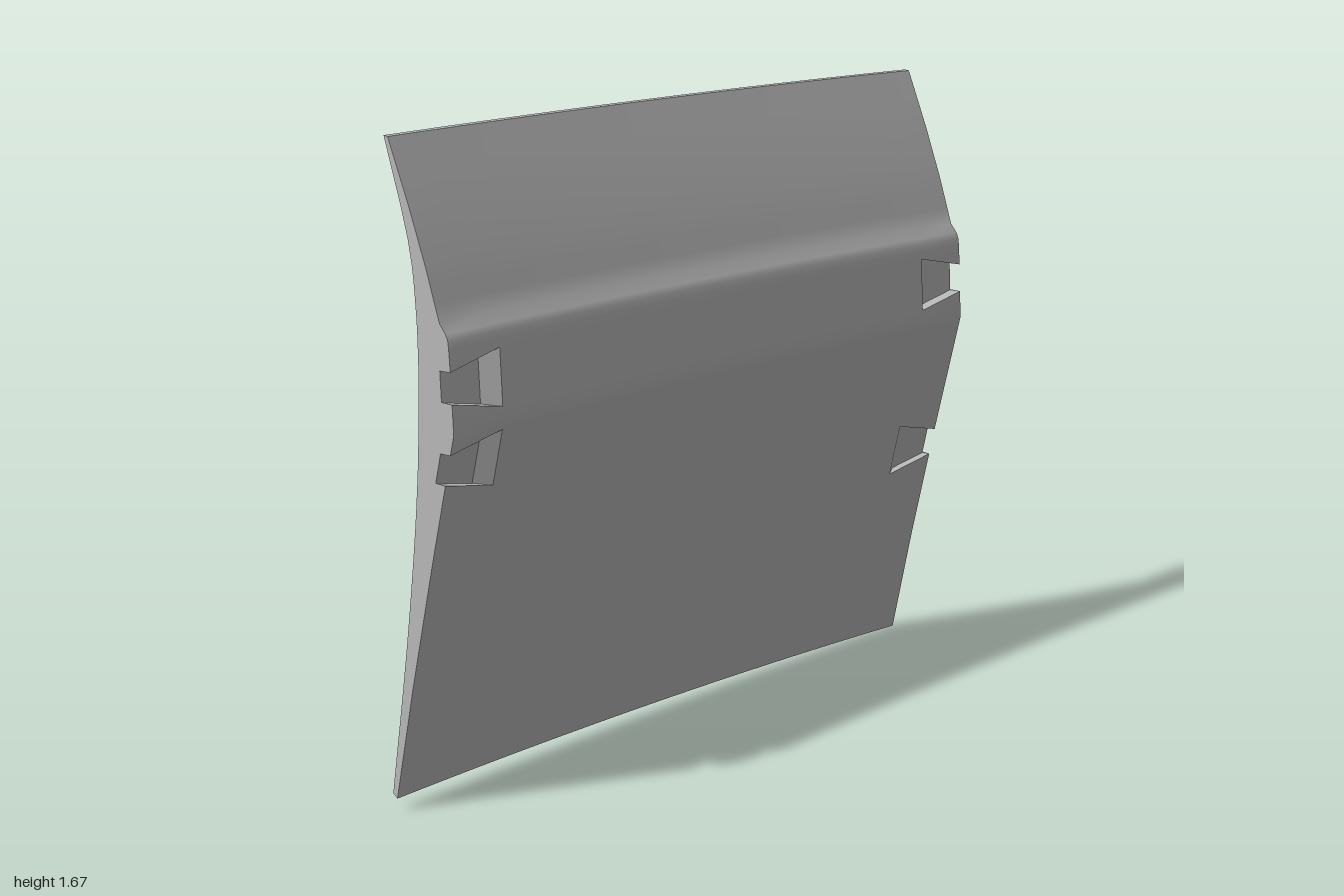
import * as THREE from 'three';
import { toCreasedNormals } from 'three/addons/utils/BufferGeometryUtils.js';

// Cross-section at the left end: height -> depth of the outer and inner faces
const outerZ = new THREE.LinearInterpolant(
  [0.005, 0.3, 0.63, 0.97, 1.16, 1.195, 1.212, 1.235, 1.36, 1.5, 1.658],
  [-0.066, -0.004, 0.071, 0.152, 0.143, 0.139, 0.132, 0.113, 0.073, 0.022, -0.042], 1);
const innerZ = new THREE.CubicInterpolant(
  [0.015, 0.46, 0.81, 1.0, 1.14, 1.26, 1.4, 1.66],
  [-0.08, -0.013, 0.027, 0.038, 0.041, 0.037, 0.021, -0.055], 1);

// Dovetail pockets: centre height, depth, and the ends (-1, 1) they open at
const pockets = [
  { y: 0.59, depth: 0.024, ends: [1] },
  { y: 0.88, depth: 0.032, ends: [-1] },
  { y: 1.0825, depth: 0.034, ends: [-1, 1] },
];

// Rows from bottom to top; pocket edges are doubled so the rows form the walls
const plain = (...ys) => ys.map((y) => ({ y, side: 0 }));
const band = (pocket) => [[-1, false], [-1, true], [0, true], [1, true], [1, false]]
  .map(([side, inside]) => ({ y: pocket.y, side, pocket: inside ? pocket : null }));
const rows = [
  ...plain(0.005, 0.1, 0.2, 0.3, 0.4, 0.48), ...band(pockets[0]),
  ...plain(0.7, 0.76), ...band(pockets[1]),
  ...plain(0.97), ...band(pockets[2]),
  ...plain(1.175, 1.195, 1.212, 1.235, 1.28, 1.32, 1.36, 1.42, 1.5, 1.58, 1.658),
];

const columns = [-1, -0.87, -0.83];
for (let i = 1; i < 24; i++) columns.push(-0.83 + (1.66 * i) / 24);
columns.push(0.83, 0.87, 1);

// The section slides back and up along a gentle arc towards the right end
function place(x, y, z) {
  const s = 1 - ((x + 1) / 2) ** 2;
  return new THREE.Vector3(x, y + s * (0.018 + 0.015 * Math.max(0, 1 - y / 1.2)), z - 0.071 * s);
}

function rowHeight(row, x) {
  const t = Math.min(1, (1 - Math.abs(x)) / 0.17);
  return row.y + row.side * (0.0385 + 0.034 * t);
}

function outerPoint(x, row) {
  const y = rowHeight(row, x);
  let z = outerZ.evaluate(y)[0];
  if (row.pocket && row.pocket.ends.includes(Math.sign(x))) {
    z -= row.pocket.depth * THREE.MathUtils.clamp((Math.abs(x) - 0.83) / 0.04, 0, 1);
  }
  return place(x, y, z);
}

function innerPoint(x, row) {
  const y = 0.015 + ((rowHeight(row, x) - 0.005) / 1.653) * 1.645;
  return place(x, y, innerZ.evaluate(y)[0]);
}

// Collects quads, dropping triangles with no area
function surface() {
  const data = [];
  const tri = (a, b, c) => {
    const area = b.clone().sub(a).cross(c.clone().sub(a)).length();
    if (area > 1e-8) for (const p of [a, b, c]) data.push(p.x, p.y, p.z);
  };
  return {
    quad(a, b, c, d) { tri(a, b, c); tri(a, c, d); },
    mesh(name, material) {
      const geometry = new THREE.BufferGeometry();
      geometry.setAttribute('position', new THREE.Float32BufferAttribute(data, 3));
      const mesh = new THREE.Mesh(toCreasedNormals(geometry, 0.4), material);
      mesh.name = name;
      return mesh;
    },
  };
}

export function createModel() {
  const grey = new THREE.MeshStandardMaterial({ color: 0xb8b8b8 });
  grey.name = 'plain grey';

  const front = columns.map((x) => rows.map((row) => outerPoint(x, row)));
  const back = columns.map((x) => rows.map((row) => innerPoint(x, row)));
  const lastColumn = columns.length - 1;
  const lastRow = rows.length - 1;
  const outer = surface();
  const inner = surface();
  const edges = surface();
  const ends = surface();

  for (let i = 0; i < lastColumn; i++) {
    // Ridged outer face with pockets, and hollow inner face
    for (let j = 0; j < lastRow; j++) {
      outer.quad(front[i][j], front[i + 1][j], front[i + 1][j + 1], front[i][j + 1]);
      inner.quad(back[i + 1][j], back[i][j], back[i][j + 1], back[i + 1][j + 1]);
    }
    // Narrow bottom and top edges
    edges.quad(back[i][0], back[i + 1][0], front[i + 1][0], front[i][0]);
    edges.quad(front[i][lastRow], front[i + 1][lastRow], back[i + 1][lastRow], back[i][lastRow]);
  }

  // Flat end faces, notched where the pockets open
  for (let j = 0; j < lastRow; j++) {
    const [f, b] = [front[lastColumn], back[lastColumn]];
    ends.quad(f[j], b[j], b[j + 1], f[j + 1]);
    ends.quad(back[0][j], front[0][j], front[0][j + 1], back[0][j + 1]);
  }

  const group = new THREE.Group();
  group.name = 'curvedPanel';
  group.add(
    outer.mesh('outerFace', grey),
    inner.mesh('innerFace', grey),
    edges.mesh('topAndBottomEdges', grey),
    ends.mesh('endFaces', grey),
  );
  return group;
}
